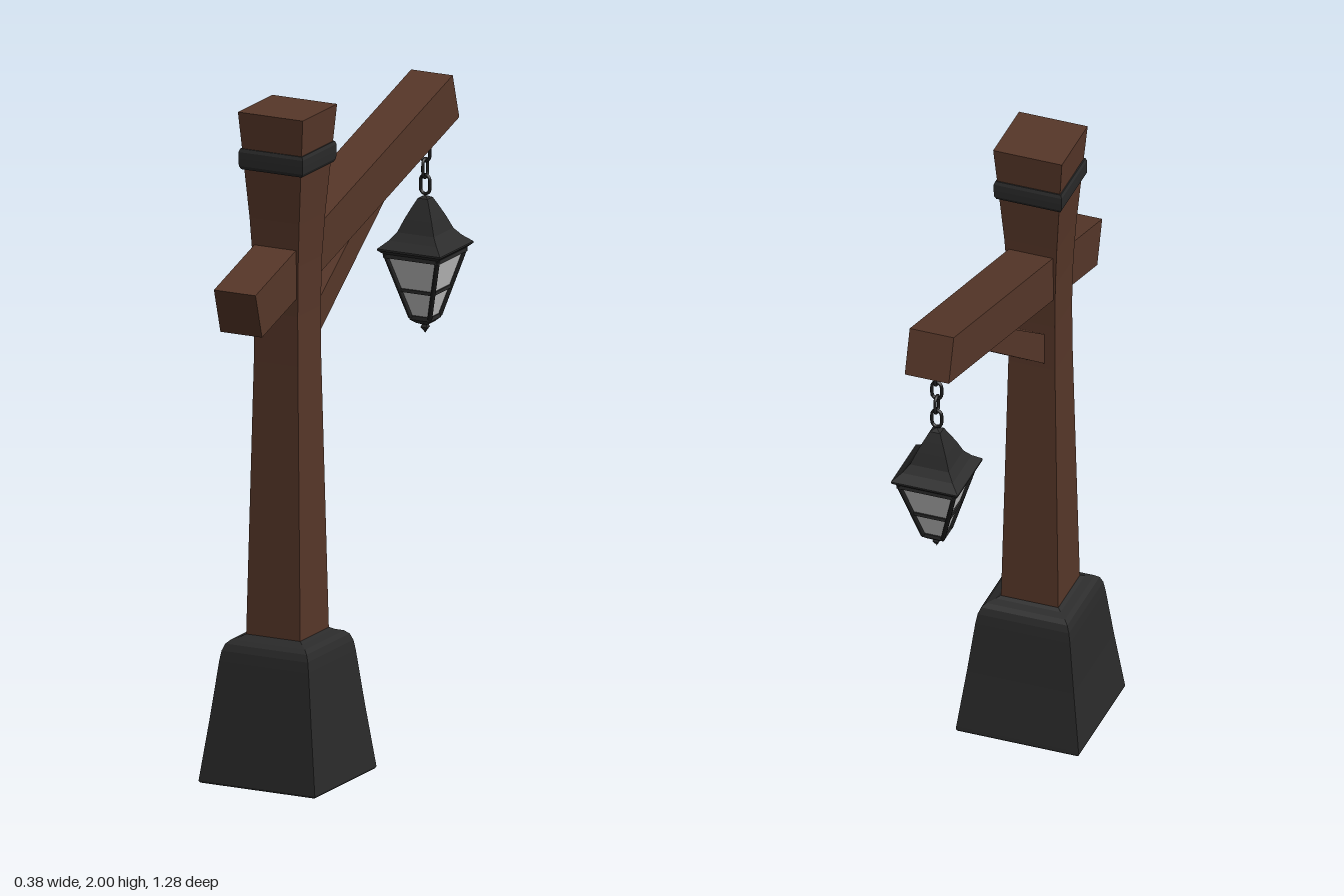
import * as THREE from 'three';

const wood = new THREE.MeshStandardMaterial({ color: 0x573729, flatShading: true });
const iron = new THREE.MeshStandardMaterial({ color: 0x2a2a2a, flatShading: true });
const ironSmooth = new THREE.MeshStandardMaterial({ color: 0x1c1c1c });
const glass = new THREE.MeshStandardMaterial({ color: 0xcccccc, flatShading: true });

const POST_Z = 0.315;
const LAMP_Z = -0.535;

function add(parent, name, geometry, material, x = 0, y = 0, z = 0) {
  const mesh = new THREE.Mesh(geometry, material);
  mesh.name = name;
  mesh.position.set(x, y, z);
  parent.add(mesh);
  return mesh;
}

// Square solid from [half width, height] pairs, listed bottom to top
function squareLoft(profile) {
  const points = profile.map(([w, y]) => new THREE.Vector2(w * Math.SQRT2, y));
  return new THREE.LatheGeometry(points, 4, Math.PI / 4);
}

// Square ring with a small rectangular section
function squareRing(half, y, depth, height) {
  const h = height / 2;
  return squareLoft([
    [half - depth, y - h], [half, y - h], [half, y + h], [half - depth, y + h], [half - depth, y - h],
  ]);
}

function rod(parent, name, a, b, radius) {
  const dir = b.clone().sub(a);
  const mesh = add(parent, name, new THREE.CylinderGeometry(radius, radius, dir.length(), 6), ironSmooth);
  mesh.position.copy(a).add(b).multiplyScalar(0.5);
  mesh.quaternion.setFromUnitVectors(new THREE.Vector3(0, 1, 0), dir.normalize());
}

// Oval chain link lying in the yz plane
function linkGeometry() {
  const path = [];
  for (let i = 0; i < 16; i++) {
    const a = (i / 16) * Math.PI * 2;
    path.push(new THREE.Vector3(0, Math.sin(a) * 0.016 + Math.sign(Math.round(Math.sin(a) * 100)) * 0.012, Math.cos(a) * 0.015));
  }
  return new THREE.TubeGeometry(new THREE.CatmullRomCurve3(path, true), 32, 0.005, 6, true);
}

function createLantern() {
  const lantern = new THREE.Group();
  lantern.name = 'lantern';

  // Concave roof with a flared eave
  add(lantern, 'lanternRoof', squareLoft([
    [0, 1.365], [0.088, 1.365], [0.103, 1.378], [0.103, 1.383], [0.078, 1.405],
    [0.06, 1.428], [0.045, 1.465], [0.03, 1.497], [0.016, 1.525], [0, 1.533],
  ]), iron);

  // Tapered panes
  const top = { w: 0.086, y: 1.366 }, bottom = { w: 0.031, y: 1.17 };
  add(lantern, 'lanternGlass', squareLoft([
    [0, bottom.y], [bottom.w - 0.003, bottom.y], [top.w - 0.003, top.y], [0, top.y],
  ]), glass);

  // Corner bars and cross bars
  for (const sx of [-1, 1]) {
    for (const sz of [-1, 1]) {
      rod(lantern, 'lanternCornerBar',
        new THREE.Vector3(sx * bottom.w, bottom.y, sz * bottom.w),
        new THREE.Vector3(sx * top.w, top.y, sz * top.w), 0.007);
    }
  }
  add(lantern, 'lanternTopFrame', squareRing(0.09, 1.362, 0.014, 0.014), iron);
  add(lantern, 'lanternCrossBar', squareRing(0.058, 1.255, 0.01, 0.01), iron);

  // Bottom cap and finial
  add(lantern, 'lanternFinial', squareLoft([
    [0, 1.12], [0.004, 1.128], [0.01, 1.138], [0.007, 1.146], [0.02, 1.152],
    [0.034, 1.164], [0.034, 1.176], [0, 1.176],
  ]), iron);

  // Hanging chain, every other link turned a quarter
  const link = linkGeometry();
  [1.712, 1.663, 1.614, 1.565].forEach((y, i) => {
    add(lantern, 'chainLink', link, ironSmooth, 0, y, 0).rotation.y = (i % 2) * Math.PI / 2;
  });
  add(lantern, 'chainHook', new THREE.CylinderGeometry(0.006, 0.006, 0.04, 6), ironSmooth, 0, 1.75, 0);

  lantern.position.z = LAMP_Z;
  return lantern;
}

export function createModel() {
  const model = new THREE.Group();
  model.name = 'lanternPost';

  // Tapered stone foot with rounded shoulder
  add(model, 'base', squareLoft([
    [0, 0], [0.187, 0], [0.19, 0.006], [0.189, 0.015], [0.165, 0.2], [0.146, 0.36], [0.141, 0.39],
    [0.133, 0.41], [0.121, 0.421], [0.1, 0.428], [0.09, 0.434], [0, 0.434],
  ]), iron, 0, 0, POST_Z);

  // Post, narrow in the middle and flared at the top
  add(model, 'post', squareLoft([
    [0, 0.4], [0.089, 0.4], [0.085, 0.6], [0.08, 0.85], [0.076, 1.05], [0.072, 1.25], [0.071, 1.4],
    [0.074, 1.55], [0.081, 1.68], [0.091, 1.81], [0.098, 1.9], [0.106, 2], [0, 2],
  ]), wood, 0, 0, POST_Z);

  // Iron band below the post head
  add(model, 'band', squareLoft([
    [0.085, 1.828], [0.099, 1.828], [0.104, 1.838], [0.105, 1.86], [0.105, 1.88], [0.101, 1.89], [0.085, 1.89],
  ]), iron, 0, 0, POST_Z);

  // Sloping beam through the post
  const beam = add(model, 'beam', new THREE.BoxGeometry(0.136, 0.141, 1.271), wood, 0, 1.64, 0.012);
  beam.rotation.x = Math.atan2(0.365, 1.2175);

  // Diagonal brace, drawn in (-z, y) and extruded across x
  const shape = new THREE.Shape([
    [-0.27, 1.247], [0.285, 1.657], [0.27, 1.69], [0.13, 1.635], [-0.27, 1.35],
  ].map(([u, v]) => new THREE.Vector2(u, v)));
  const braceGeometry = new THREE.ExtrudeGeometry(shape, { depth: 0.08, bevelEnabled: false });
  braceGeometry.translate(0, 0, -0.04);
  braceGeometry.rotateY(Math.PI / 2);
  add(model, 'brace', braceGeometry, wood);

  model.add(createLantern());
  return model;
}
